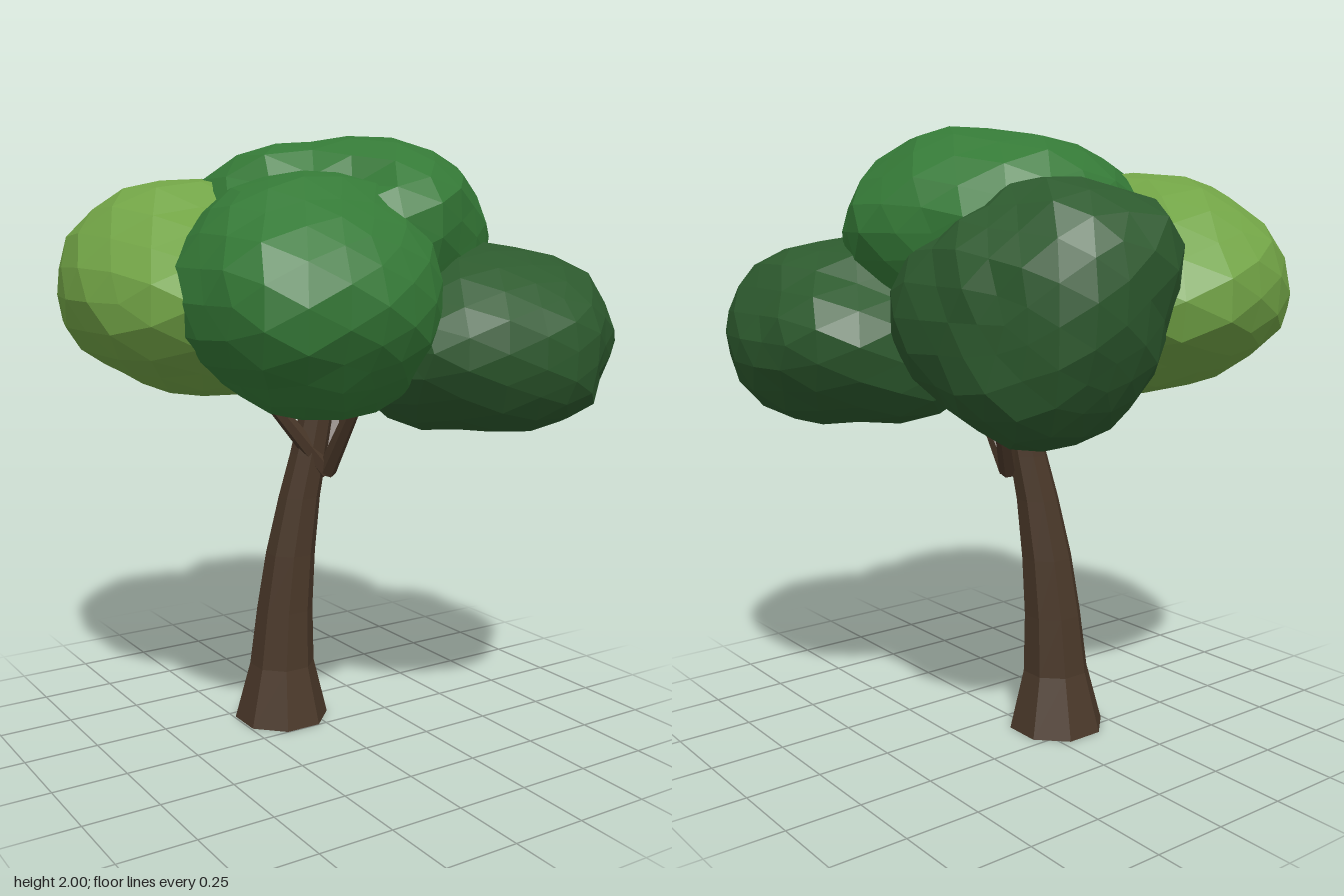
import * as THREE from 'three';

const material = (name, color) => {
  const m = new THREE.MeshStandardMaterial({ color });
  m.name = name;
  return m;
};

// Separate the faces so that each one is shaded flat
function facet(geometry) {
  const g = geometry.index ? geometry.toNonIndexed() : geometry;
  g.computeVertexNormals();
  return g;
}

// Ellipsoid pulled towards cross-section outlines:
// top [x, z], front [x, y] and side [z, y] through its centre, plus free points
function foliage({ center, radii, top = [], front = [], side = [], points = [], seed }) {
  const c = new THREE.Vector3(...center);
  const r = new THREE.Vector3(...radii);
  const keys = [
    ...top.map(([x, z]) => [x, c.y, z]),
    ...front.map(([x, y]) => [x, y, c.z]),
    ...side.map(([z, y]) => [c.x, y, z]),
    ...points,
  ].map((k) => {
    const dir = new THREE.Vector3(...k).sub(c).divide(r);
    const reach = dir.length();
    return { dir: dir.normalize(), reach };
  });
  const g = new THREE.IcosahedronGeometry(1, 3);
  const p = g.attributes.position;
  const v = new THREE.Vector3();
  for (let i = 0; i < p.count; i++) {
    v.fromBufferAttribute(p, i).normalize();
    let weight = 0.06;
    let sum = 0.06;
    for (const { dir, reach } of keys) {
      const w = Math.exp(28 * (v.dot(dir) - 1));
      weight += w;
      sum += w * reach;
    }
    const lump = 1.005
      + 0.012 * Math.sin(7 * v.x + 6 * v.z + 5 * v.y + seed)
      + 0.01 * Math.sin(9 * v.z - 8 * v.y + seed * 2.1);
    v.multiplyScalar((sum / weight) * lump).multiply(r).add(c);
    p.setXYZ(i, v.x, v.y, v.z);
  }
  return facet(g);
}

// Curved eight-sided trunk; each ring is [x, y, z, radius], top first
function trunkGeometry(rings) {
  const n = rings.length - 1;
  const g = new THREE.CylinderGeometry(1, 1, 1, 8, n);
  g.rotateY(Math.PI / 8);
  const p = g.attributes.position;
  for (let i = 0; i < p.count; i++) {
    const [x, y, z, r] = rings[Math.round((0.5 - p.getY(i)) * n)];
    p.setXYZ(i, x + p.getX(i) * r, y, z + p.getZ(i) * r);
  }
  return facet(g);
}

// Thin tapered branch between two points
function branchGeometry(from, to) {
  const a = new THREE.Vector3(...from);
  const d = new THREE.Vector3(...to).sub(a);
  const g = new THREE.CylinderGeometry(0.022, 0.033, d.length(), 6);
  g.translate(0, d.length() / 2, 0);
  g.applyQuaternion(new THREE.Quaternion().setFromUnitVectors(new THREE.Vector3(0, 1, 0), d.normalize()));
  g.translate(...from);
  return facet(g);
}

export function createModel() {
  const model = new THREE.Group();
  model.name = 'tree';
  const bark = material('bark brown', 0x4a3829);
  const green = material('leaf green', 0x357a37);
  const dark = material('dark leaf green', 0x2d5a2e);
  const light = material('light leaf green', 0x72a446);

  const add = (name, geometry, mat) => {
    const mesh = new THREE.Mesh(geometry, mat);
    mesh.name = name;
    model.add(mesh);
  };

  // Trunk with flared foot, leaning gently
  add('trunk', trunkGeometry([
    [0.04, 1.35, -0.05, 0.05],
    [0.015, 1.15, -0.068, 0.056],
    [-0.015, 0.95, -0.09, 0.064],
    [-0.04, 0.8, -0.11, 0.072],
    [-0.065, 0.6, -0.13, 0.086],
    [-0.082, 0.4, -0.142, 0.098],
    [-0.092, 0.2, -0.147, 0.113],
    [-0.092, 0, -0.153, 0.164],
  ]), bark);

  // Branches fanning out from one fork
  const fork = [0.03, 0.89, -0.045];
  [[-0.23, 1.22, -0.09], [0.21, 1.24, -0.21], [0.03, 1.2, 0.17]].forEach((tip, i) => {
    add('branch' + (i + 1), branchGeometry(fork, tip), bark);
  });

  // Crown of five overlapping leaf clumps
  add('topFoliage', foliage({
    center: [0.08, 1.68, 0], radii: [0.48, 0.32, 0.5], seed: 1.2,
    top: [[-0.46, 0.03], [-0.36, -0.18], [-0.26, -0.4], [-0.07, -0.5], [0.2, -0.48], [0.37, -0.42],
      [0.5, -0.2], [0.55, 0.02], [0.5, 0.2], [0.35, 0.37], [0.2, 0.43], [-0.05, 0.52]],
    front: [[-0.43, 1.82], [-0.33, 1.91], [-0.02, 1.98], [0.18, 2], [0.32, 1.98], [0.45, 1.87], [0.55, 1.75]],
    side: [[0.51, 1.77], [0.4, 1.9], [0.25, 1.97], [0, 2], [-0.2, 1.98], [-0.4, 1.92], [-0.48, 1.84]],
    points: [[-0.09, 1.71, 0.5], [-0.12, 1.83, 0.24], [-0.28, 1.78, 0.16], [-0.22, 1.68, 0.24]],
  }), green);

  add('frontLeftClump', foliage({
    center: [-0.25, 1.5, 0.26], radii: [0.4, 0.37, 0.44], seed: 2.6,
    top: [[-0.64, 0.28], [-0.64, 0.42], [-0.63, 0.55], [-0.52, 0.65], [-0.3, 0.7], [-0.1, 0.67], [0, 0.62]],
    front: [[-0.61, 1.66], [-0.53, 1.76], [-0.33, 1.86], [-0.08, 1.87], [0.05, 1.75], [-0.64, 1.4],
      [-0.5, 1.27], [-0.38, 1.18], [-0.25, 1.13], [-0.08, 1.14], [0.08, 1.2]],
    side: [[0.69, 1.58], [0.61, 1.7], [0.5, 1.77], [0.25, 1.87], [0.05, 1.85], [0.62, 1.3], [0.4, 1.15]],
  }), green);

  add('frontRightClump', foliage({
    center: [0.38, 1.35, 0.34], radii: [0.42, 0.3, 0.46], seed: 4.1,
    top: [[-0.06, 0.5], [0, 0.63], [0.1, 0.71], [0.27, 0.77], [0.42, 0.79], [0.6, 0.67], [0.73, 0.58],
      [0.8, 0.42], [0.79, 0.25], [0.78, 0.05], [0.71, -0.08], [0.55, -0.13]],
    front: [[-0.05, 1.22], [0, 1.4], [0.08, 1.58], [0.22, 1.63], [0.4, 1.66], [0.66, 1.6], [0.77, 1.43],
      [0.78, 1.23], [0.68, 1.1], [0.55, 1.06], [0.3, 1.08], [0.1, 1.09]],
    side: [[0.77, 1.26], [0.68, 1.13], [0.5, 1.07], [0.28, 1.06], [0, 1.1], [-0.12, 1.16], [-0.12, 1.35],
      [-0.06, 1.5], [0.1, 1.64], [0.38, 1.66], [0.54, 1.61], [0.7, 1.52]],
  }), dark);

  add('backRightClump', foliage({
    center: [0.21, 1.44, -0.42], radii: [0.36, 0.39, 0.38], seed: 5.3,
    top: [[0.05, -0.76], [0.25, -0.79], [0.4, -0.72], [0.45, -0.6], [0.53, -0.36], [0.56, -0.18], [0.5, -0.05]],
    side: [[-0.48, 1.84], [-0.62, 1.81], [-0.75, 1.72], [-0.79, 1.6], [-0.79, 1.45], [-0.73, 1.28],
      [-0.6, 1.1], [-0.49, 1.04], [-0.3, 1.08], [-0.13, 1.22], [-0.09, 1.4], [-0.28, 1.67]],
    points: [[-0.13, 1.68, -0.56], [-0.09, 1.7, -0.7], [0.03, 1.72, -0.76], [-0.1, 1.74, -0.45], [0.42, 1.68, -0.55]],
  }), dark);

  add('backLeftClump', foliage({
    center: [-0.33, 1.49, -0.24], radii: [0.47, 0.36, 0.55], seed: 0.4,
    top: [[-0.81, -0.15], [-0.79, -0.3], [-0.75, -0.48], [-0.6, -0.69], [-0.43, -0.78], [-0.1, -0.79],
      [-0.78, 0], [-0.75, 0.15], [-0.66, 0.28], [-0.5, 0.34]],
    front: [[-0.4, 1.87], [-0.64, 1.81], [-0.75, 1.7], [-0.77, 1.37], [-0.63, 1.26], [-0.47, 1.18], [-0.35, 1.16]],
    side: [[-0.45, 1.84], [-0.6, 1.77], [-0.73, 1.66], [-0.74, 1.36], [-0.6, 1.25], [0.1, 1.75]],
    points: [[-0.03, 1.66, -0.6], [-0.02, 1.7, -0.4], [-0.6, 1.7, -0.55], [-0.58, 1.3, -0.55], [-0.62, 1.65, 0.12]],
  }), light);

  return model;
}
